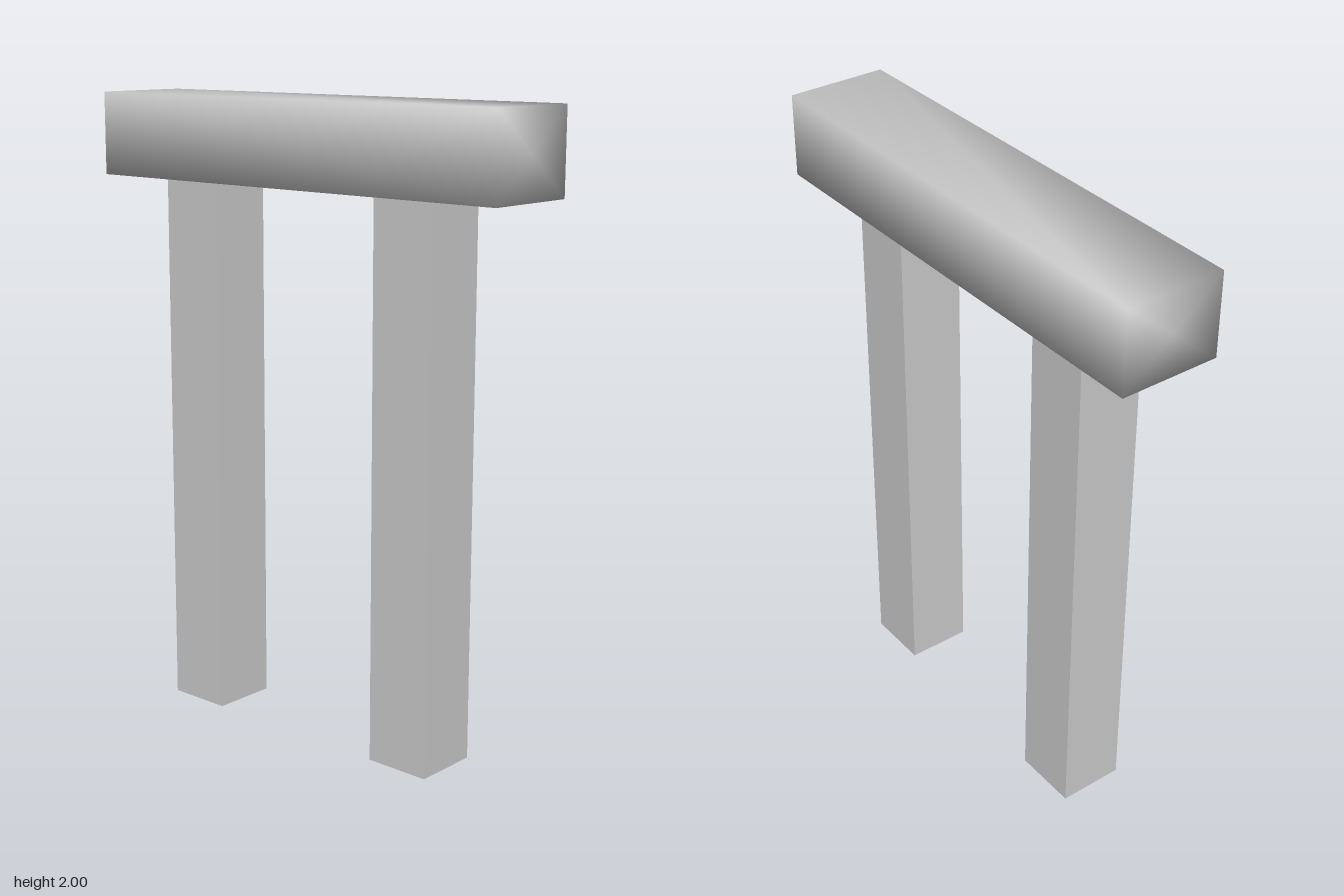
import * as THREE from 'three';
import { mergeVertices } from 'three/addons/utils/BufferGeometryUtils.js';

const material = new THREE.MeshStandardMaterial({ color: 0xcccccc });

// Four-sided bar along x whose corners share smooth normals, with fan-shaped flat ends
function smoothBar(length, height, depth) {
  const bar = new THREE.CylinderGeometry(Math.SQRT1_2, Math.SQRT1_2, 1, 4, 1, false, Math.PI / 4);
  bar.rotateZ(Math.PI / 2);
  bar.scale(length, height, depth);
  bar.deleteAttribute('normal');
  bar.deleteAttribute('uv');
  const welded = mergeVertices(bar, 1e-3);
  welded.computeVertexNormals();
  return welded;
}

export function createModel() {
  const model = new THREE.Group();
  model.name = 'postAndBeam';

  const bottom = 1.735, top = 2;

  // Crossbeam
  const beam = new THREE.Mesh(smoothBar(1.57, top - bottom, 0.324), material);
  beam.name = 'crossbeam';
  beam.position.y = (top + bottom) / 2;
  model.add(beam);

  // Square posts, set slightly forward and to the left of centre
  const postGeometry = new THREE.BoxGeometry(0.214, bottom, 0.214);
  for (const [name, x] of [['rightPost', -0.423], ['leftPost', 0.434]]) {
    const post = new THREE.Mesh(postGeometry, material);
    post.name = name;
    post.position.set(x, bottom / 2, 0.021);
    model.add(post);
  }

  return model;
}
